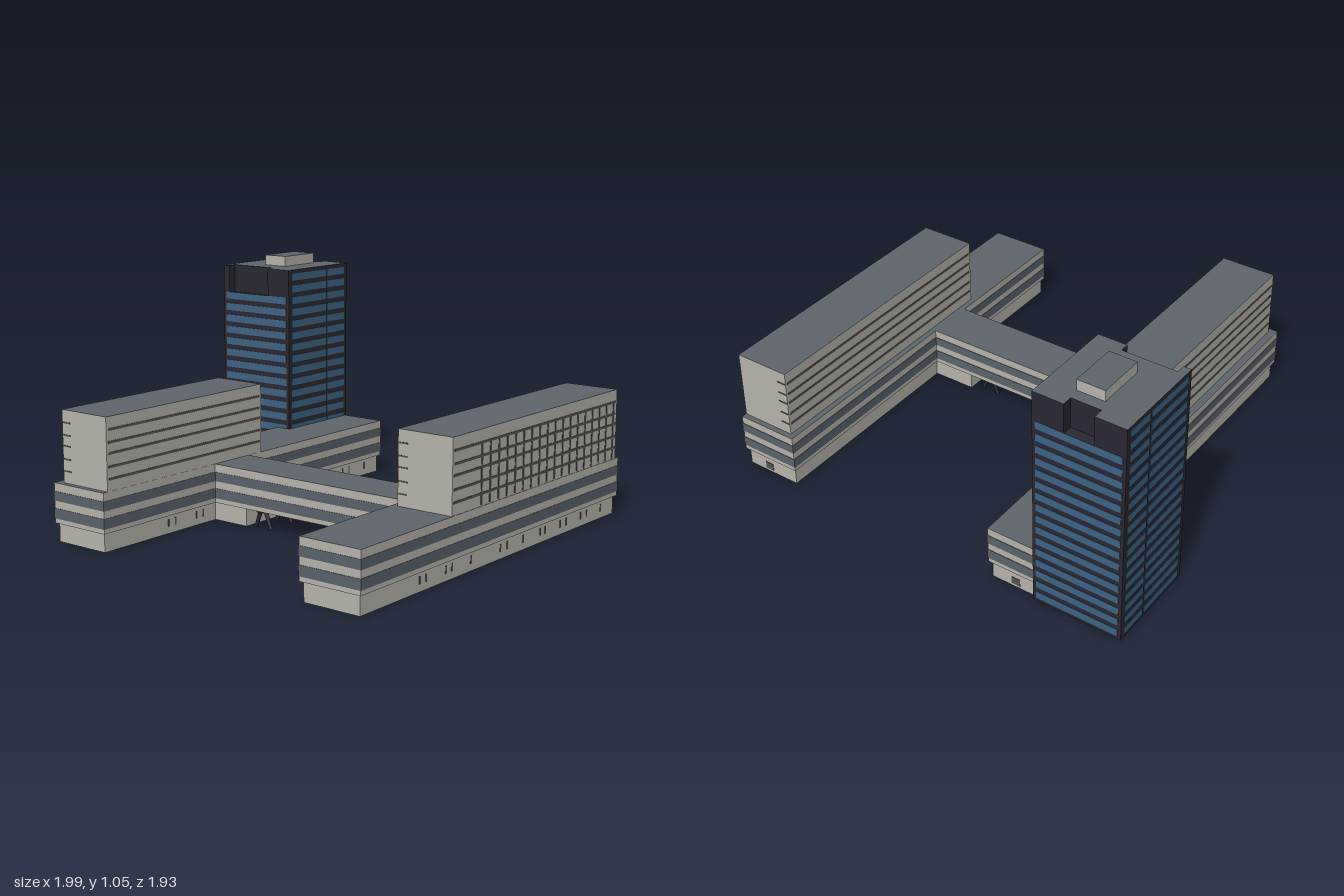
import * as THREE from 'three';

const mat = (name, color) => {
  const m = new THREE.MeshStandardMaterial({ color });
  m.name = name;
  return m;
};

export function createModel() {
  const wall = mat('concrete', 0xb8b5ad);
  const roof = mat('roofGrey', 0x5f666c);
  const glass = mat('greyGlass', 0x5b636b);
  const gap = mat('darkJoint', 0x55544f);
  const dark = mat('towerDark', 0x2a2833);
  const blue = mat('blueGlass', 0x3d6486);

  const root = new THREE.Group();
  const site = new THREE.Group();
  site.name = 'site';
  site.rotation.y = 0.049; // the whole plan sits slightly skewed
  root.add(site);

  // Box given by its limits, with an optional separate top material
  const box = (name, [x0, x1, y0, y1, z0, z1], m, top = m) => {
    const g = new THREE.BoxGeometry(x1 - x0, y1 - y0, z1 - z0);
    const mesh = new THREE.Mesh(g, top === m ? m : [m, m, top, m, m, m]);
    mesh.position.set((x0 + x1) / 2, (y0 + y1) / 2, (z0 + z1) / 2);
    mesh.name = name;
    site.add(mesh);
    return mesh;
  };
  const T = 0.002; // how far thin painted plates stand out

  // Podium wings and bridge: concrete body with two window bands around it
  const podium = (name, x0, x1, z0, z1) => {
    box(name, [x0, x1, 0.08, 0.25, z0, z1], wall, roof);
    for (const [y0, y1] of [[0.1, 0.143], [0.175, 0.215]])
      box(name + 'WindowBand', [x0 - T, x1 + T, y0, y1, z0 - T, z1 + T], glass);
  };
  podium('leftOfPlanWing', -0.623, -0.336, -0.913, 0.931);
  podium('rightOfPlanWing', 0.666, 0.946, -0.921, 0.926);
  podium('bridge', -0.336, 0.666, 0.054, 0.273);

  // Recessed ground floors, with short stubs reaching under the bridge
  const bases = [[-0.611, -0.348, -0.901, 0.919], [0.678, 0.934, -0.909, 0.914]];
  for (const [x0, x1, z0, z1] of bases) {
    box('groundFloor', [x0, x1, 0, 0.08, z0, z1], wall);
    const xm = (x0 + x1) / 2 + 0.02;
    box('backDoor', [xm - 0.02, xm + 0.02, 0.012, 0.045, z0 - T, z0], gap);
    for (const z of [0.55, 0.51, 0.38, 0.34, 0.21, 0, -0.05, -0.17, -0.3, -0.34, -0.46, -0.51, -0.63, -0.68, -0.8])
      box('slitWindow', [x1, x1 + T, 0.03, 0.062, z - 0.004, z + 0.004], gap);
  }
  box('bridgeStub', [-0.35, -0.17, 0, 0.08, 0.066, 0.261], wall);
  box('bridgeStub', [0.478, 0.68, 0, 0.08, 0.066, 0.261], wall);

  // Upper blocks with long horizontal joints and short returns on the ends
  const rows = [0.3, 0.35, 0.405, 0.45, 0.502];
  const upper = (name, x0, x1, z0, z1) => {
    box(name, [x0, x1, 0.25, 0.555, z0, z1], wall, roof);
    for (const y of rows) {
      const y0 = y - 0.005, y1 = y + 0.005;
      box('sideJoint', [x0 - T, x0, y0, y1, z0 + 0.01, z1 - 0.01], gap);
      box('sideJoint', [x1, x1 + T, y0, y1, z0 + 0.01, z1 - 0.01], gap);
      for (const z of [z0 - T, z1])
        box('endJoint', [x0, x0 + 0.045, y0 + 0.002, y1 - 0.002, z, z + T], gap);
    }
  };
  upper('leftOfPlanUpperBlock', -0.59, -0.337, -0.03, 0.907);
  upper('rightOfPlanUpperBlock', 0.692, 0.944, -0.897, 0.36);

  // Window grid uprights on the outer face of the long upper block
  for (let i = 0; i < 18; i++) {
    const z = 0.16 - i * 0.0605;
    box('gridUpright', [0.944, 0.944 + T, 0.255, 0.505, z - 0.005, z + 0.005], gap);
  }

  // Tower: plain shaft and a crown notched at front and back
  const [tx0, tx1, tz0, tz1] = [-0.955, -0.552, -0.918, -0.482];
  box('towerShaft', [tx0, tx1, 0, 0.87, tz0, tz1], dark);
  const plan = [
    [tx0, tz1], [-0.92, tz1], [-0.92, tz1 - 0.04], [-0.68, tz1 - 0.04], [-0.68, tz1], [tx1, tz1],
    [tx1, tz0], [-0.69, tz0], [-0.69, tz0 + 0.045], [-0.82, tz0 + 0.045], [-0.82, tz0], [tx0, tz0],
  ];
  const shape = new THREE.Shape(plan.map(([x, z]) => new THREE.Vector2(x, -z)));
  const crownGeo = new THREE.ExtrudeGeometry(shape, { depth: 0.13, bevelEnabled: false });
  crownGeo.rotateX(-Math.PI / 2);
  const crown = new THREE.Mesh(crownGeo, [roof, dark]);
  crown.name = 'towerCrown';
  crown.position.y = 0.87;
  site.add(crown);
  box('roofPlantRoom', [-0.803, -0.68, 1, 1.047, -0.823, -0.61], wall, roof);
  box('towerEntrance', [-0.787, -0.69, 0, 0.05, tz1, tz1 + 0.03], dark);

  // Blue glass rows; the side faces carry two extra rows up to the roof
  for (let i = 0; i < 18; i++) {
    const y0 = 0.015 + i * 0.055, y1 = y0 + 0.033;
    for (const x of [tx0 - T, tx1])
      for (const [a, b] of [[tz0 + 0.02, -0.765], [-0.757, tz1 - 0.02]])
        box('towerSideGlass', [x, x + T, y0, y1, a, b], blue);
    if (i < 16)
      for (const z of [tz0 - T, tz1])
        box('towerFaceGlass', [tx0 + 0.015, tx1 - 0.015, y0, y1, z, z + T], blue);
  }

  // Trestle supports beneath the bridge
  for (const x of [-0.1, 0.39]) {
    box('trestleBeam', [x - 0.018, x + 0.018, 0.07, 0.081, 0.07, 0.257], dark);
    for (const z of [0.095, 0.232])
      for (const s of [-1, 1]) {
        const a = new THREE.Vector3(x + s * 0.04, 0, z);
        const d = new THREE.Vector3(x + s * 0.012, 0.078, z).sub(a);
        const leg = new THREE.Mesh(new THREE.CylinderGeometry(0.009, 0.008, d.length(), 8), dark);
        leg.name = 'trestleLeg';
        leg.position.copy(a).addScaledVector(d, 0.5);
        leg.quaternion.setFromUnitVectors(new THREE.Vector3(0, 1, 0), d.normalize());
        site.add(leg);
      }
  }
  return root;
}
